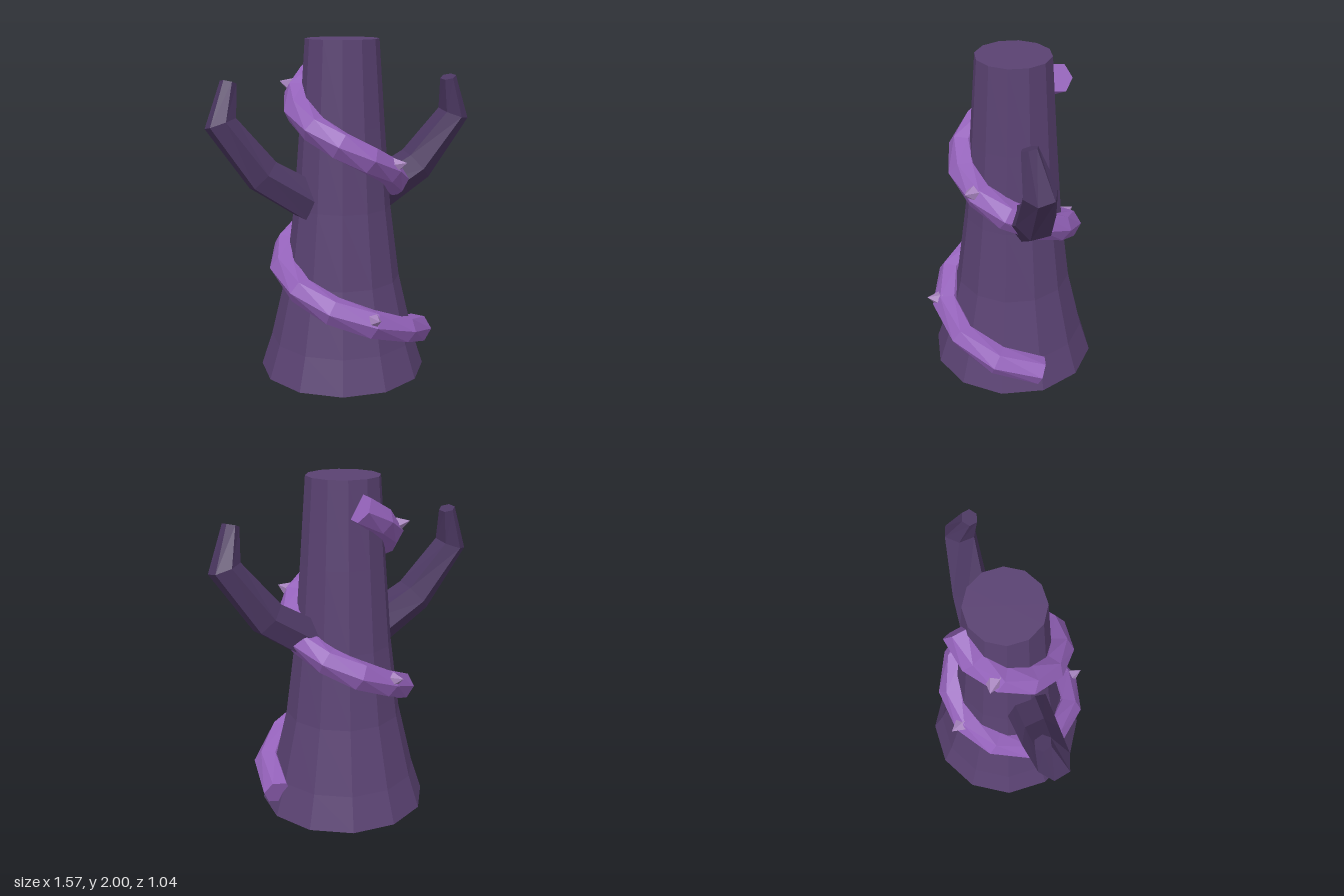
import * as THREE from 'three';

const mat = (name, color) => {
  const m = new THREE.MeshStandardMaterial({ color, flatShading: true });
  m.name = name;
  return m;
};

// Trunk outline: radius, height
const TRUNK = [[0.5, 0], [0.435, 0.2], [0.345, 0.58], [0.288, 1.02], [0.25, 1.5], [0.215, 2]];

function trunkRadius(y) {
  for (let i = 1; i < TRUNK.length; i++) {
    const [r0, y0] = TRUNK[i - 1], [r1, y1] = TRUNK[i];
    if (y <= y1) return r0 + (r1 - r0) * (y - y0) / (y1 - y0);
  }
  return 0.215;
}

// Capped faceted tube through points; hints fix the direction of the first corner of each ring
function loft(points, radii, hints, sides) {
  const pos = [], idx = [], n = points.length;
  points.forEach((p, i) => {
    const t = points[Math.min(i + 1, n - 1)].clone().sub(points[Math.max(i - 1, 0)]).normalize();
    const u = hints[i].clone().addScaledVector(t, -hints[i].dot(t)).normalize();
    const v = t.clone().cross(u);
    for (let j = 0; j < sides; j++) {
      const a = j / sides * Math.PI * 2;
      pos.push(...p.clone().addScaledVector(u, radii[i] * Math.cos(a)).addScaledVector(v, radii[i] * Math.sin(a)).toArray());
    }
  });
  const first = n * sides, last = first + 1, end = (n - 1) * sides;
  pos.push(...points[0].toArray(), ...points[n - 1].toArray());
  for (let j = 0; j < sides; j++) {
    const k = (j + 1) % sides;
    for (let i = 0; i < n - 1; i++) {
      const a = i * sides + j, b = i * sides + k;
      idx.push(a, b, b + sides, a, b + sides, a + sides);
    }
    idx.push(first, k, j, last, end + j, end + k);
  }
  const g = new THREE.BufferGeometry();
  g.setAttribute('position', new THREE.Float32BufferAttribute(pos, 3));
  g.setIndex(idx);
  g.computeVertexNormals();
  return g;
}

// Spiral position of the vine, angle in degrees from +x towards +z
function spiral(deg) {
  const a = deg * Math.PI / 180, y = 0.15 + 0.95 * deg / 360;
  const out = new THREE.Vector3(Math.cos(a), 0, Math.sin(a));
  const centre = out.clone().multiplyScalar(trunkRadius(y) + 0.032);
  centre.y = y;
  return { out, centre };
}

export function createModel() {
  const model = new THREE.Group();
  model.name = 'thornyTree';
  const bark = mat('bark', 0x5a4272);
  const darkBark = mat('darkBark', 0x4b3761);
  const vineSkin = mat('vinePurple', 0x9462ba);
  const thornSkin = mat('thornLilac', 0xa683bd);
  const add = (name, geometry, material, parent = model) => {
    const m = new THREE.Mesh(geometry, material);
    m.name = name;
    parent.add(m);
    return m;
  };

  // Trunk with closed ends
  const outline = [[0, 0], ...TRUNK, [0, 2]].map(([r, y]) => new THREE.Vector2(r, y));
  add('trunk', new THREE.LatheGeometry(outline, 12), bark).position.z = -0.01;

  // Two bent branches, the second turned half a circle
  const bend = [[0.18, 1.04, -0.01], [0.485, 1.235, 0.07], [0.705, 1.54, 0.145], [0.635, 1.765, 0.178]]
    .map(p => new THREE.Vector3(...p));
  const branchShape = loft(bend, [0.13, 0.115, 0.095, 0.048], bend.map(() => new THREE.Vector3(0, 0, 1)), 6);
  ['leftBranch', 'rightBranch'].forEach((name, i) => {
    const branch = add(name, branchShape, darkBark);
    branch.rotation.y = i * Math.PI;
    branch.position.z = -0.015;
  });

  // Vine winding up the trunk
  const steps = 20, ring = [];
  for (let i = 0; i <= steps; i++) ring.push(spiral(645 * i / steps));
  add('vine', loft(ring.map(r => r.centre), ring.map((r, i) => 0.084 + 0.004 * Math.sin(i * 2.3)),
    ring.map(r => r.out), 6), vineSkin);

  // Thorns on the vine
  const thorns = new THREE.Group();
  thorns.name = 'thorns';
  model.add(thorns);
  const thornShape = new THREE.ConeGeometry(0.052, 0.085, 5);
  for (const deg of [98, 258, 420, 585]) {
    const { out, centre } = spiral(deg);
    const thorn = add('thorn', thornShape, thornSkin, thorns);
    thorn.position.copy(centre).addScaledVector(out, 0.078);
    thorn.position.y += 0.042;
    const dir = out.clone().setY(0.3).normalize();
    thorn.quaternion.setFromUnitVectors(new THREE.Vector3(0, 1, 0), dir);
  }
  return model;
}
